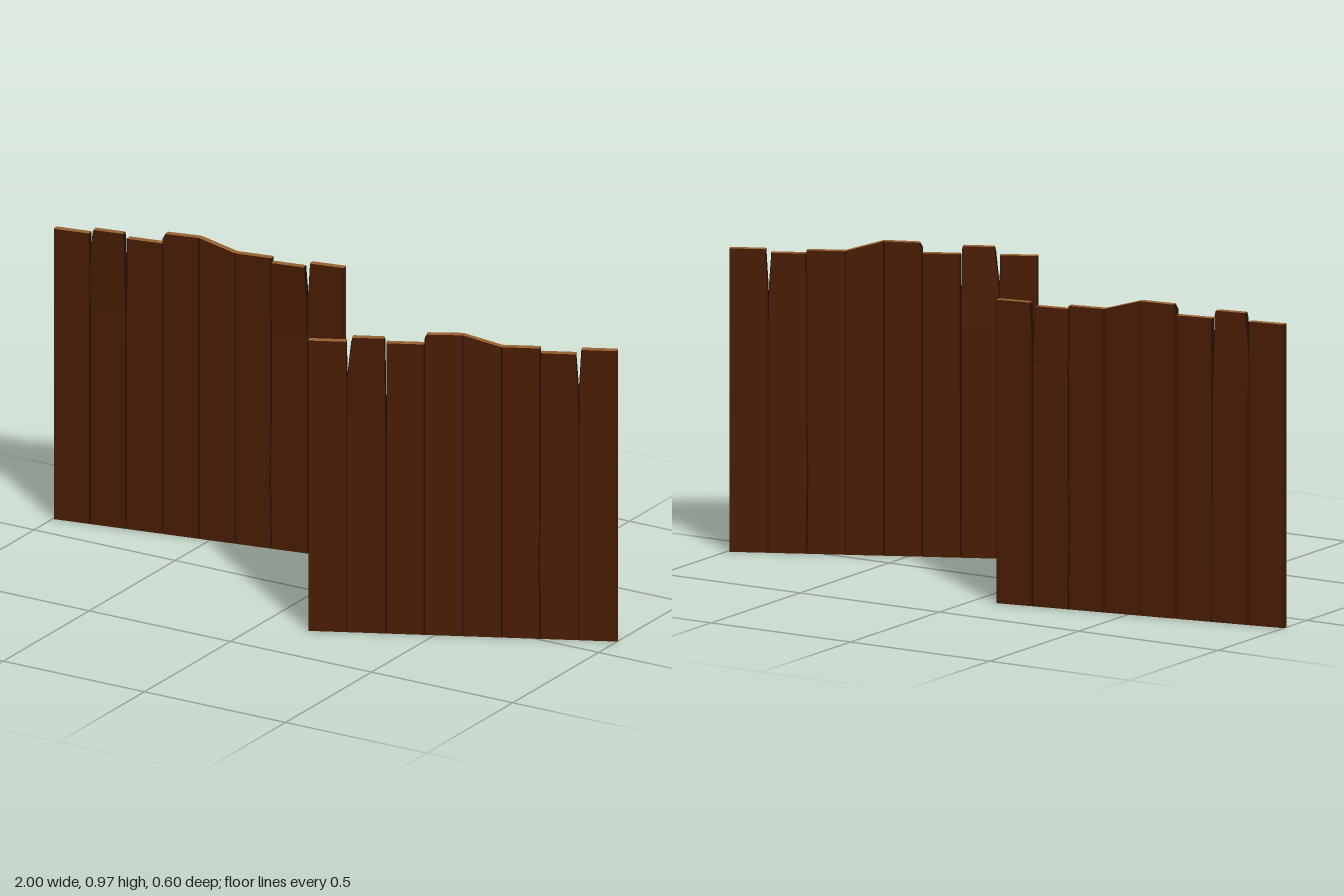
import * as THREE from 'three';

const WIDTH = 0.94, COUNT = 8, STEP = WIDTH / COUNT, HALF = 0.011, CHAMFER = 0.002;

// Each plank is a stack of rows: [left height, right height, left edge shift, right edge shift, forward lean]
const planks = [
  [[0, 0, 0, 0, 0], [0.82, 0.82, 0, 0, 0], [0.94, 0.94, 0, -0.002, 0]],
  [[0, 0, 0, 0, 0], [0.7, 0.7, 0, 0, 0], [0.83, 0.83, 0.001, 0, 0.009],
    [0.945, 0.95, 0.014, -0.001, 0.017], [0.961, 0.961, 0.018, -0.004, 0.018]],
  [[0, 0, 0, 0, 0], [0.94, 0.94, 0.002, 0, 0]],
  [[0, 0, 0, 0, 0], [0.955, 0.955, 0, 0, 0], [0.972, 0.974, 0.009, 0, 0]],
  [[0, 0, 0, 0, 0], [0.5, 0.5, 0, 0, 0], [0.974, 0.94, 0, 0, 0]],
  [[0, 0, 0, 0, 0], [0.25, 0.25, 0, -0.004, 0], [0.42, 0.42, 0, 0, 0], [0.94, 0.94, 0, 0, 0]],
  [[0, 0, 0, 0, 0], [0.12, 0.12, -0.001, 0, 0], [0.25, 0.25, -0.004, 0, 0], [0.42, 0.42, 0, 0, 0],
    [0.7, 0.7, 0, 0, 0], [0.82, 0.82, 0, -0.002, 0.004], [0.928, 0.928, 0.002, -0.009, 0.008]],
  [[0, 0, 0, 0, 0], [0.82, 0.82, 0, 0, 0], [0.94, 0.94, 0.007, 0, 0]],
];

// Chamfered board lofted through its rows; groups: 0 wood, 1 dark joint, 2 cut end
function plankGeometry(index) {
  const x0 = -WIDTH / 2 + index * STEP;
  const rings = planks[index].map(([yl, yr, dl, dr, z]) => {
    const l = x0 + dl, r = x0 + STEP + dr, c = CHAMFER, h = HALF;
    const section = [[l + c, h], [r - c, h], [r, h - c], [r, c - h],
      [r - c, -h], [l + c, -h], [l, c - h], [l, h - c]];
    return section.map(([x, pz]) =>
      new THREE.Vector3(x, yl + (yr - yl) * (x - l) / (r - l), pz + z));
  });
  const faces = [[], [], []];
  const add = (m, ...pts) => pts.forEach(p => faces[m].push(p.x, p.y, p.z));
  // Broad faces and the outer ends of the panel are wood, joints are dark
  const kind = i => (i === 0 || i === 4 || (i === 2 && index === COUNT - 1) || (i === 6 && index === 0)) ? 0 : 1;
  for (let k = 0; k < rings.length - 1; k++) {
    const a = rings[k], b = rings[k + 1];
    for (let i = 0; i < 8; i++) {
      const j = (i + 1) % 8;
      add(kind(i), a[i], a[j], b[j], a[i], b[j], b[i]);
    }
  }
  const top = rings[rings.length - 1], bottom = rings[0];
  for (let i = 1; i < 7; i++) {
    add(2, top[0], top[i], top[i + 1]);
    add(0, bottom[0], bottom[i + 1], bottom[i]);
  }
  const geometry = new THREE.BufferGeometry();
  geometry.setAttribute('position', new THREE.Float32BufferAttribute(faces.flat(), 3));
  let start = 0;
  faces.forEach((f, m) => {
    geometry.addGroup(start, f.length / 3, m);
    start += f.length / 3;
  });
  geometry.computeVertexNormals();
  return geometry;
}

export function createModel() {
  const material = (name, color) => {
    const m = new THREE.MeshStandardMaterial({ color });
    m.name = name;
    return m;
  };
  const materials = [
    material('dark wood', 0x481c03),
    material('shadowed joint', 0x261003),
    material('cut wood end', 0x945f30),
  ];
  const geometries = planks.map((_, i) => plankGeometry(i));

  const model = new THREE.Group();
  model.name = 'fencePanels';

  // Two identical panels, turned by different amounts
  const addPanel = (name, x, z, angle) => {
    const panel = new THREE.Group();
    panel.name = name;
    geometries.forEach((g, i) => {
      const plank = new THREE.Mesh(g, materials);
      plank.name = `plank${i + 1}`;
      panel.add(plank);
    });
    panel.position.set(x, 0, z);
    panel.rotation.y = angle;
    model.add(panel);
  };
  addPanel('rearFencePanel', -0.537, -0.205, 0.183);
  addPanel('frontFencePanel', 0.573, 0.086, 0.45);
  return model;
}
